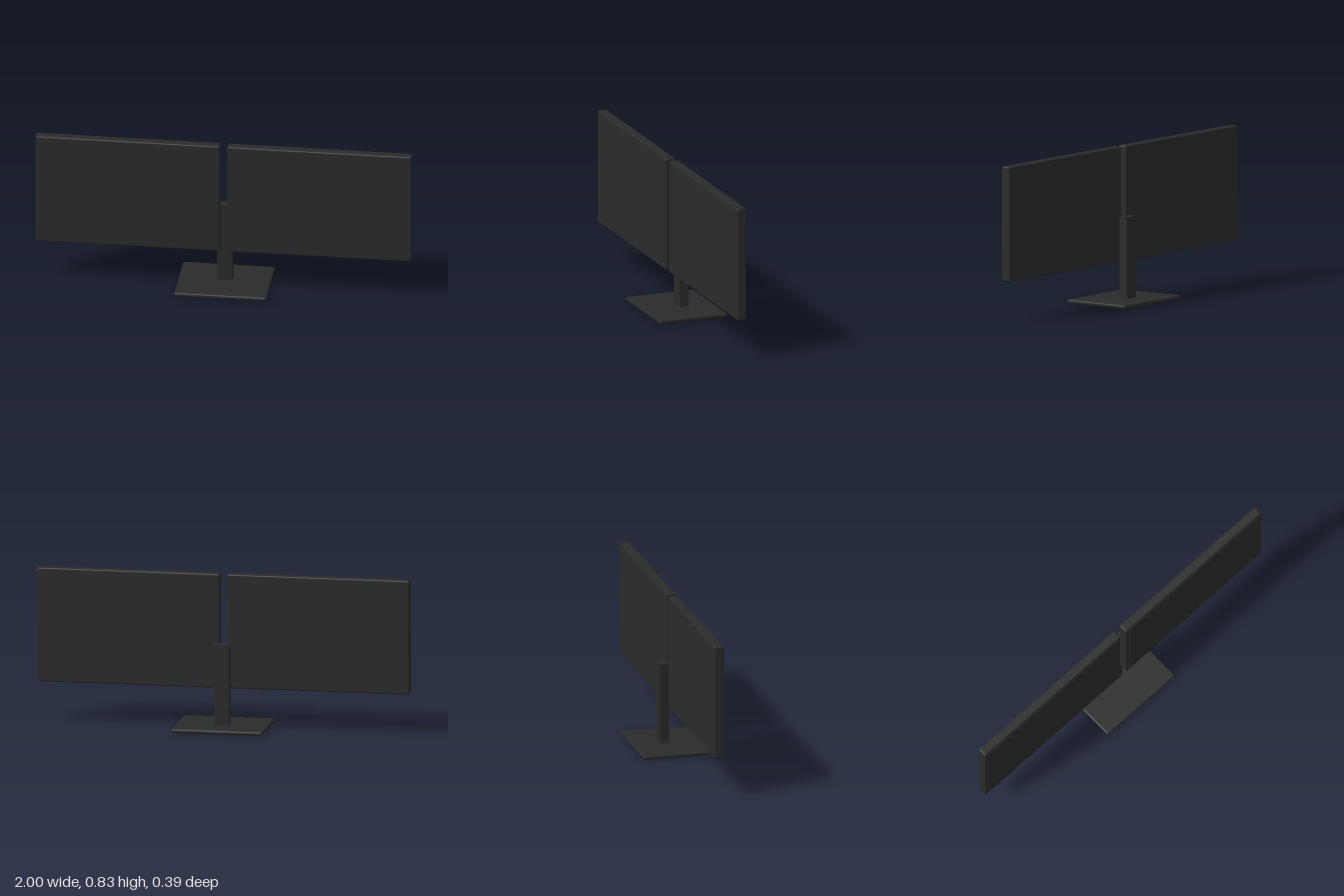
import * as THREE from 'three';
import { RoundedBoxGeometry } from 'three/addons/geometries/RoundedBoxGeometry.js';

export function createModel() {
  const model = new THREE.Group();
  model.name = 'dualMonitorStand';
  const charcoal = new THREE.MeshStandardMaterial({ color: 0x2b2b2b });
  charcoal.name = 'charcoal';

  const add = (name, geometry, x, y, z, parent = model) => {
    const mesh = new THREE.Mesh(geometry, charcoal);
    mesh.name = name;
    mesh.position.set(x, y, z);
    parent.add(mesh);
    return mesh;
  };

  // Flat foot with softened rim
  add('base', new RoundedBoxGeometry(0.49, 0.022, 0.386, 3, 0.0095), 0, 0.011, 0);

  // Sharp-edged upright behind the displays
  add('column', new THREE.BoxGeometry(0.08, 0.441, 0.051), 0, 0.2365, -0.0255);

  // Two matching displays, each with a thin raised screen
  for (const side of [1, -1]) {
    const monitor = new THREE.Group();
    monitor.name = side > 0 ? 'leftMonitor' : 'rightMonitor';
    monitor.position.set(side * 0.51, 0.52, 0);
    add('housing', new RoundedBoxGeometry(0.98, 0.614, 0.052, 3, 0.008), 0, 0, 0.026, monitor);
    add('screen', new THREE.BoxGeometry(0.936, 0.57, 0.004), 0, 0, 0.052, monitor);
    model.add(monitor);
  }

  return model;
}
